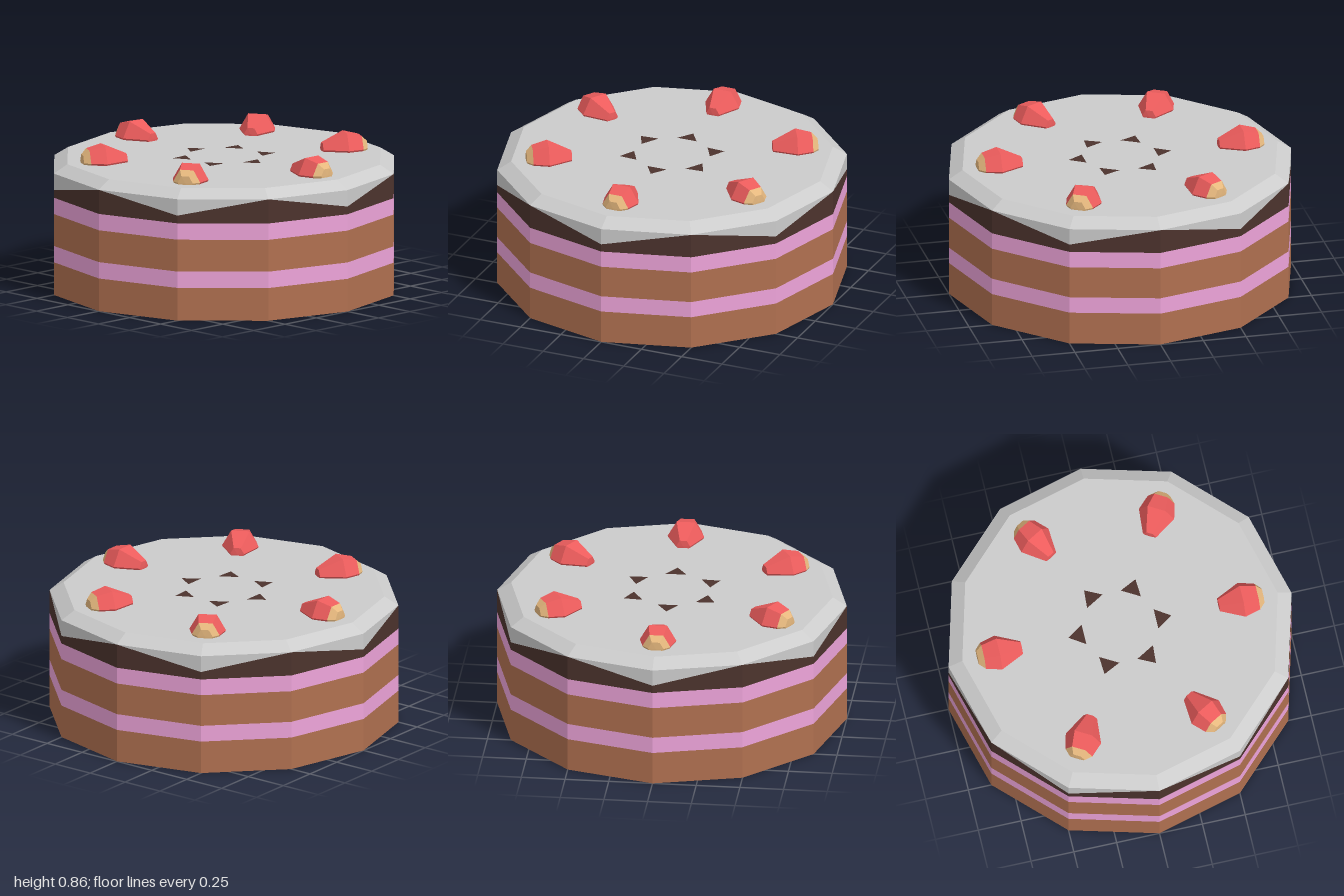
import * as THREE from 'three';

const SIDES = 12;
const material = (color, side = THREE.FrontSide) =>
  new THREE.MeshStandardMaterial({ color, flatShading: true, side });
const sponge = material(0xb07050);
const cream = material(0xeea4da);
const chocolate = material(0x4c332d);
const frosting = material(0xcccccc);
const berryRed = material(0xec5c5c);
const berryEnd = material(0xe6b87e);

function add(parent, name, geometry, mat) {
  const mesh = new THREE.Mesh(geometry, mat);
  mesh.name = name;
  parent.add(mesh);
  return mesh;
}

// Twelve-sided ring between two heights
function band(y0, y1, r0 = 1, r1 = 1) {
  return new THREE.CylinderGeometry(r1, r0, y1 - y0, SIDES, 1, true).translate(0, (y0 + y1) / 2, 0);
}

// Height of the dripping frosting edge at a corner
function dripHeight(x, z) {
  const corner = Math.round(Math.atan2(x, z) / (Math.PI / 6));
  return corner % 2 === 0 ? 0.705 : 0.61;
}

// Ring with its upper or lower edge moved onto the drip zigzag
function dripBand(y0, y1, moveTop) {
  const geometry = band(y0, y1);
  const p = geometry.attributes.position;
  for (let i = 0; i < p.count; i++) {
    if ((p.getY(i) > (y0 + y1) / 2) === moveTop) p.setY(i, dripHeight(p.getX(i), p.getZ(i)));
  }
  return geometry;
}

// Six-sided turned shape lying along +x; profile is [position, radius]
function lyingLathe(profile) {
  const points = profile.map(([along, r]) => new THREE.Vector2(r, along));
  return new THREE.LatheGeometry(points, 6).rotateZ(-Math.PI / 2);
}

export function createModel() {
  const cake = new THREE.Group();
  cake.name = 'cake';

  // Stacked sponge and cream layers
  add(cake, 'lowerSponge', band(0, 0.19), sponge);
  add(cake, 'lowerCream', band(0.19, 0.285), cream);
  add(cake, 'upperSponge', band(0.285, 0.47), sponge);
  add(cake, 'upperCream', band(0.47, 0.565), cream);
  add(cake, 'base', new THREE.CircleGeometry(1, SIDES).rotateX(Math.PI / 2), sponge);

  // Chocolate layer under the dripping frosting
  add(cake, 'chocolateLayer', dripBand(0.565, 0.705, true), chocolate);
  add(cake, 'frostingDrips', dripBand(0.61, 0.705, false), frosting);
  add(cake, 'frostingBevel', band(0.705, 0.755, 1, 0.92), frosting);
  add(cake, 'frostingTop', new THREE.CircleGeometry(0.92, SIDES).rotateX(-Math.PI / 2).translate(0, 0.755, 0), frosting);

  // Flat chocolate chip, pointing outwards
  const chipShape = new THREE.Shape([
    new THREE.Vector2(0.21, -0.06),
    new THREE.Vector2(0.3, 0),
    new THREE.Vector2(0.21, 0.06),
  ]);
  const chip = new THREE.ShapeGeometry(chipShape).rotateX(-Math.PI / 2).translate(0, 0.757, 0);

  // Strawberry body and its pale stem end
  const body = lyingLathe([[0.572, 0], [0.575, 0.04], [0.71, 0.105], [0.8, 0.08]]);
  const end = lyingLathe([[0.8, 0.08], [0.833, 0.045], [0.835, 0]]);
  body.translate(0, 0.765, 0);
  end.translate(0, 0.765, 0);

  // Six chips and six strawberries around the top
  for (let i = 0; i < 6; i++) {
    const angle = (i * Math.PI) / 3;
    add(cake, 'chocolateChip', chip, chocolate).rotation.y = angle;
    const strawberry = new THREE.Group();
    strawberry.name = 'strawberry';
    add(strawberry, 'strawberryBody', body, berryRed);
    add(strawberry, 'strawberryEnd', end, berryEnd);
    strawberry.rotation.y = angle;
    cake.add(strawberry);
  }
  return cake;
}
